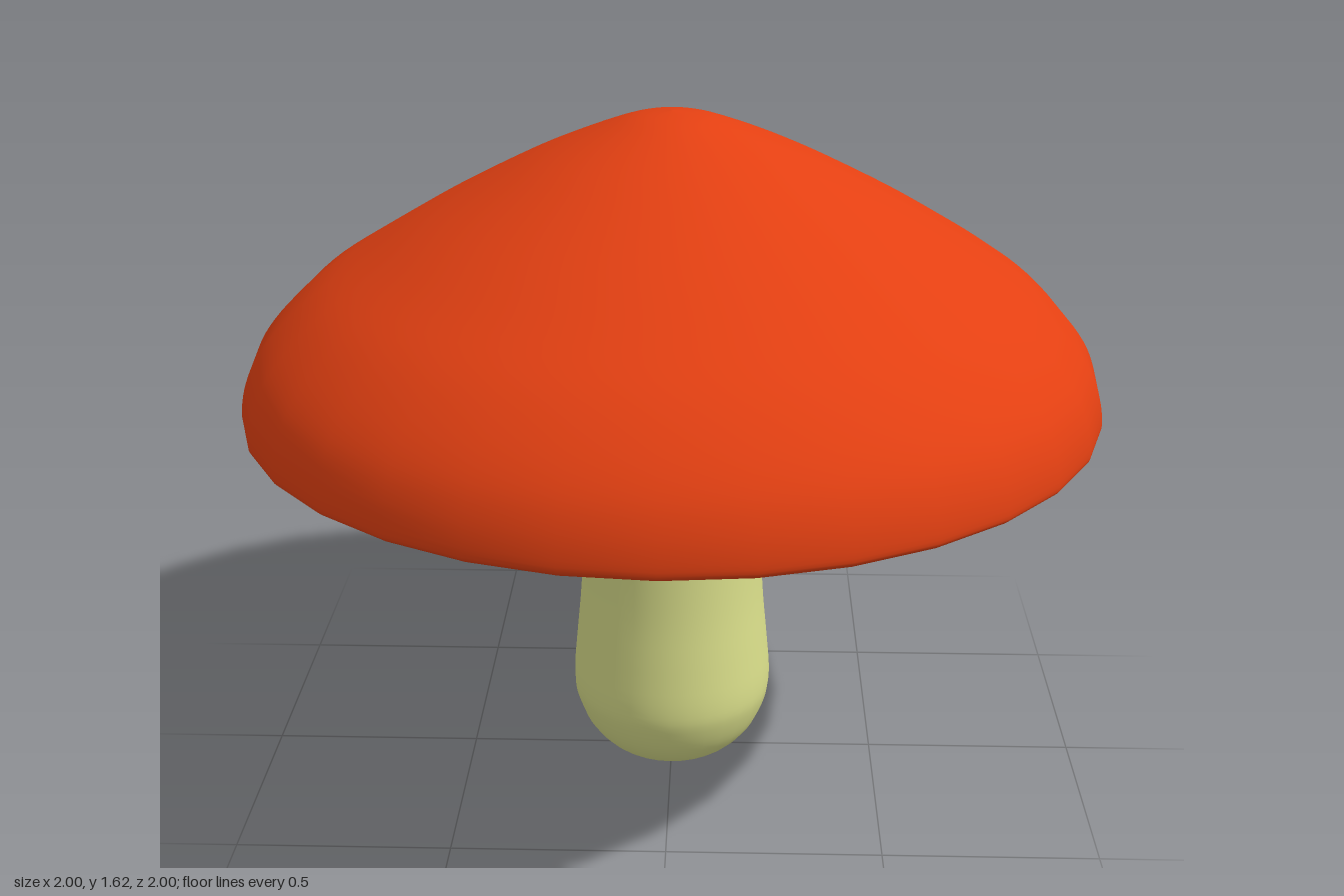
import * as THREE from 'three';

const SIDES = 32;

// Spins a smooth curve through [radius, height] points around the y axis
function turned(name, color, points, steps) {
  const curve = new THREE.SplineCurve(points.map(([r, y]) => new THREE.Vector2(r, y)));
  const profile = curve.getPoints(steps);
  profile.forEach((p) => { p.x = Math.max(p.x, 0); });
  const mesh = new THREE.Mesh(
    new THREE.LatheGeometry(profile, SIDES),
    new THREE.MeshStandardMaterial({ color })
  );
  mesh.name = name;
  return mesh;
}

export function createModel() {
  const model = new THREE.Group();
  model.name = 'mushroom';

  // Stem: rounded foot, narrow middle, flared collar under the cap
  model.add(turned('stem', 0xd9de8a, [
    [0, 0.003], [0.08, 0.01], [0.15, 0.035], [0.205, 0.09], [0.236, 0.16],
    [0.243, 0.22], [0.235, 0.32], [0.223, 0.45], [0.217, 0.6], [0.217, 0.75],
    [0.222, 0.87], [0.238, 0.96], [0.285, 1.03],
  ], 48));

  // Cap: hollow underside dipping to the stem, rolled rim, domed top
  model.add(turned('cap', 0xe34012, [
    [0.2, 0.99], [0.28, 1.02], [0.37, 1.05], [0.5, 1.055], [0.7, 1.01],
    [0.88, 0.95], [0.965, 0.93], [0.99, 0.935], [1, 0.955], [0.99, 1.02],
    [0.96, 1.09], [0.9, 1.165], [0.81, 1.245], [0.685, 1.325], [0.55, 1.405],
    [0.39, 1.49], [0.28, 1.543], [0.16, 1.592], [0.08, 1.618], [0, 1.628],
  ], 76));

  return model;
}
